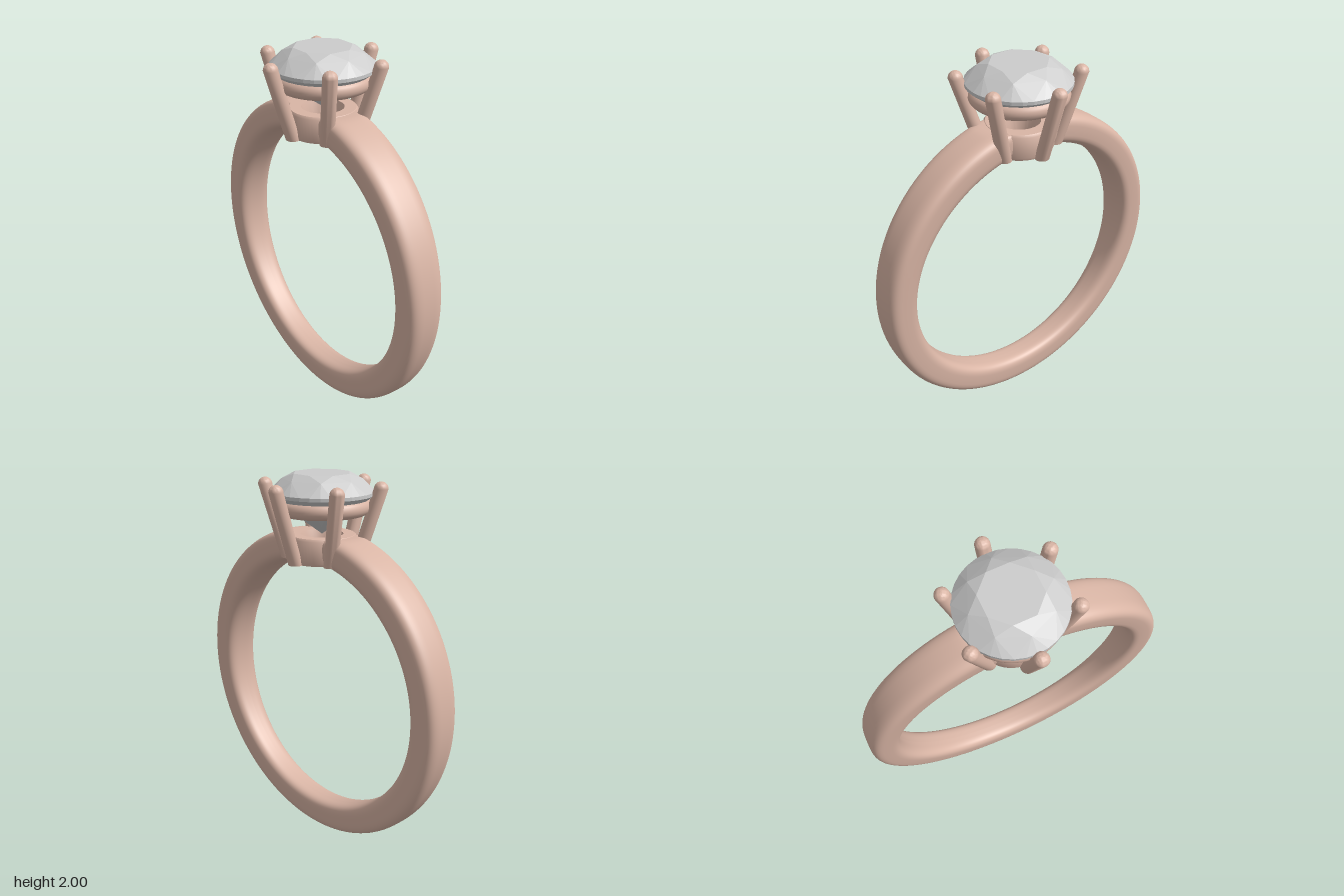
import * as THREE from 'three';
import { toCreasedNormals } from 'three/addons/utils/BufferGeometryUtils.js';
import { ConvexGeometry } from 'three/addons/geometries/ConvexGeometry.js';

const metal = new THREE.MeshStandardMaterial({ color: 0xd9b5a5 });
const grey = new THREE.MeshStandardMaterial({ color: 0xcccccc, flatShading: true });

const named = (name, geometry, material) => {
  const mesh = new THREE.Mesh(geometry, material);
  mesh.name = name;
  return mesh;
};

const lathe = (pts, segments) =>
  toCreasedNormals(new THREE.LatheGeometry(pts.map(([r, y]) => new THREE.Vector2(r, y)), segments), 0.7);

// Band: rounded-rectangle section swept round the finger, wider towards the top, open under the setting
function bandGeometry() {
  const centreY = 0.862, midR = 0.778, halfThick = 0.083;
  const start = Math.asin(0.12 / midR);
  const soften = (c) => Math.sign(c) * Math.pow(Math.abs(c), 2 / 3.5);
  const geo = new THREE.PlaneGeometry(1, 1, 48, 160);
  const p = geo.attributes.position;
  for (let i = 0; i < p.count; i++) {
    const a = (p.getX(i) + 0.5) * Math.PI * 2;
    const t = THREE.MathUtils.lerp(start, Math.PI * 2 - start, 0.5 - p.getY(i));
    const r = midR - halfThick * soften(Math.cos(a));
    const y = centreY + r * Math.cos(t);
    const halfWidth = 0.078 + 0.047 * (y / 1.7);
    p.setXYZ(i, r * Math.sin(t), Math.min(y, 1.69), halfWidth * soften(Math.sin(a)));
  }
  geo.computeVertexNormals();
  return geo;
}

// Prong: round-topped rod, sheared outward so that its foot stays level
function prongGeometry() {
  const r = 0.037, foot = 1.556, shoulder = 1.93;
  const pts = [[0, foot], [r, foot]];
  for (let i = 0; i <= 8; i++) {
    const a = (i / 8) * Math.PI / 2;
    pts.push([i === 8 ? 0 : r * Math.cos(a), shoulder + r * Math.sin(a)]);
  }
  const geo = new THREE.LatheGeometry(pts.map(([x, y]) => new THREE.Vector2(x, y)), 24);
  const p = geo.attributes.position;
  for (let i = 0; i < p.count; i++) {
    const k = Math.min(1, (p.getY(i) - foot) / (shoulder - foot));
    p.setZ(i, p.getZ(i) + 0.185 + 0.12 * k);
  }
  return toCreasedNormals(geo, 0.7);
}

// Stone: brilliant cut as the hull of its table, star tips, girdle, pavilion and point
function stoneGeometry() {
  const pts = [new THREE.Vector3(0, 1.69, 0)];
  const ring = (n, r, y, offset) => {
    for (let i = 0; i < n; i++) {
      const a = offset + (i / n) * Math.PI * 2;
      pts.push(new THREE.Vector3(r * Math.sin(a), y, r * Math.cos(a)));
    }
  };
  ring(8, 0.15, 2, Math.PI / 8);
  ring(8, 0.205, 1.971, 0);
  ring(32, 0.268, 1.91, 0);
  ring(32, 0.268, 1.893, 0);
  ring(8, 0.06, 1.732, 0);
  return new ConvexGeometry(pts);
}

export function createModel() {
  const model = new THREE.Group();
  model.name = 'ring';
  model.add(named('band', bandGeometry(), metal));

  // Collar with a funnel-shaped hole
  model.add(named('collar', lathe([
    [0.08, 1.556], [0.175, 1.556], [0.18, 1.57], [0.18, 1.68], [0.17, 1.692],
    [0.11, 1.692], [0.08, 1.6], [0.08, 1.556],
  ], 64), metal));

  // Rail under the stone
  const rail = named('galleryRail', new THREE.TorusGeometry(0.212, 0.042, 20, 72), metal);
  rail.rotation.x = Math.PI / 2;
  rail.position.y = 1.836;
  model.add(rail);

  // Six prongs
  const prong = prongGeometry();
  for (let i = 0; i < 6; i++) {
    const mesh = named('prong' + (i + 1), prong, metal);
    mesh.rotation.y = (i * Math.PI) / 3;
    model.add(mesh);
  }

  model.add(named('stone', stoneGeometry(), grey));
  return model;
}
